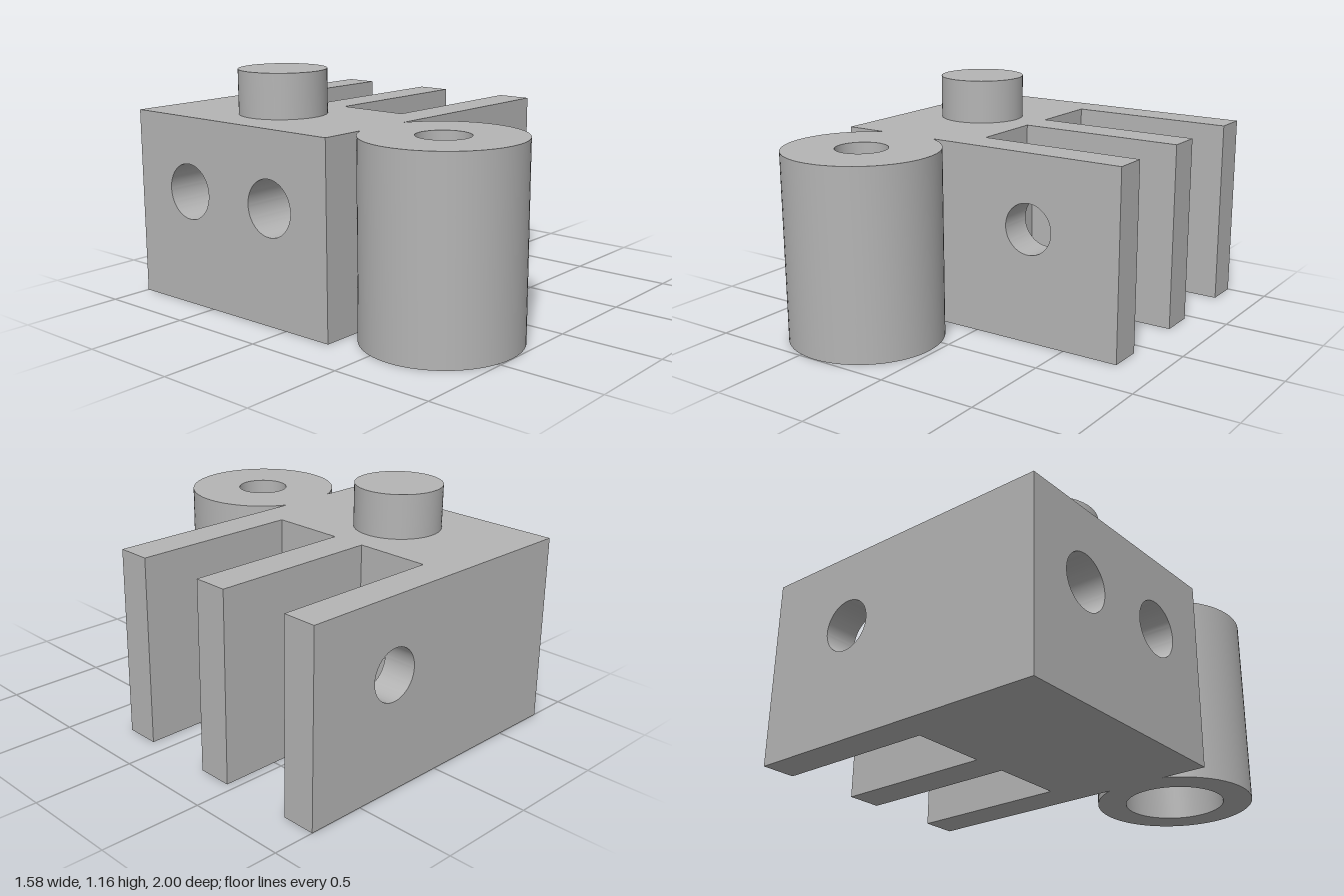
import * as THREE from 'three';
import { toCreasedNormals } from 'three/addons/utils/BufferGeometryUtils.js';

const H = 0.94;              // body height
const HOLE_Y = 0.57;         // height of all cross holes
const X0 = -0.79, X1 = 0.79; // body ends
const SLOT_X = -0.062;       // slot floor above the ledges
const LEDGE_X = -0.03;       // slot floor below hole height
const Z_BACK = -1, Z_FRONT = 0.265;
const SLOTS = [[-0.83, -0.455], [-0.28, 0.092]];
const SLOT_HOLE_R = 0.138;

const rect = (a, b, y0, y1) => new THREE.Shape([
  new THREE.Vector2(a, y0), new THREE.Vector2(b, y0),
  new THREE.Vector2(b, y1), new THREE.Vector2(a, y1),
]);

const drill = (shape, x, r) =>
  shape.holes.push(new THREE.Path().absarc(x, HOLE_Y, r, 0, Math.PI * 2, true));

const extrude = (shape, depth) => toCreasedNormals(
  new THREE.ExtrudeGeometry(shape, { depth, bevelEnabled: false, curveSegments: 48 }), 0.5);

// Extrude a (-z, y) profile along +x
const extrudeX = (shape, xa, xb) =>
  extrude(shape, xb - xa).rotateY(Math.PI / 2).translate(xa, 0, 0);

export function createModel() {
  const group = new THREE.Group();
  const grey = new THREE.MeshStandardMaterial({ color: 0xb4b4b4 });
  grey.name = 'plain grey';
  const add = (name, geometry) => {
    const mesh = new THREE.Mesh(geometry, grey);
    mesh.name = name;
    group.add(mesh);
  };

  // Main block with a lengthwise hole behind each slot
  const block = rect(-Z_FRONT, -Z_BACK, 0, H);
  SLOTS.forEach(([a, b]) => drill(block, -(a + b) / 2, SLOT_HOLE_R));
  add('mainBlock', extrudeX(block, X0, SLOT_X));

  // Shallow ledges in the lower half of the slots, notched by the holes
  SLOTS.forEach(([a, b], i) => {
    const c = -(a + b) / 2;
    const ledge = new THREE.Shape();
    ledge.moveTo(-b, 0);
    ledge.lineTo(-a, 0);
    ledge.lineTo(-a, HOLE_Y);
    ledge.lineTo(c + SLOT_HOLE_R, HOLE_Y);
    ledge.absarc(c, HOLE_Y, SLOT_HOLE_R, 0, Math.PI, true);
    ledge.lineTo(-b, HOLE_Y);
    ledge.closePath();
    add(`slotLedge${i + 1}`, extrudeX(ledge, SLOT_X, LEDGE_X));
  });

  // Three fork plates with a shared pin hole
  const plates = [[Z_BACK, SLOTS[0][0]], [SLOTS[0][1], SLOTS[1][0]], [SLOTS[1][1], Z_FRONT]];
  plates.forEach(([a, b], i) => {
    const plate = rect(SLOT_X, X1, 0, H);
    drill(plate, 0.3, 0.127);
    add(`forkPlate${i + 1}`, extrude(plate, b - a).translate(0, 0, a));
  });

  // Round stud on top
  add('stud', new THREE.CylinderGeometry(0.217, 0.217, 0.22, 64).translate(-0.41, H + 0.11, -0.37));

  // Barrel with a narrow bore above and a wide bore below
  const profile = [[0.382, 0], [0.382, H], [0.128, H], [0.128, 0.5], [0.242, 0.5], [0.242, 0], [0.382, 0]]
    .map(([r, y]) => new THREE.Vector2(r, y));
  add('barrel', toCreasedNormals(new THREE.LatheGeometry(profile, 72), 0.5).translate(-0.41, 0, 0.616));

  return group;
}
